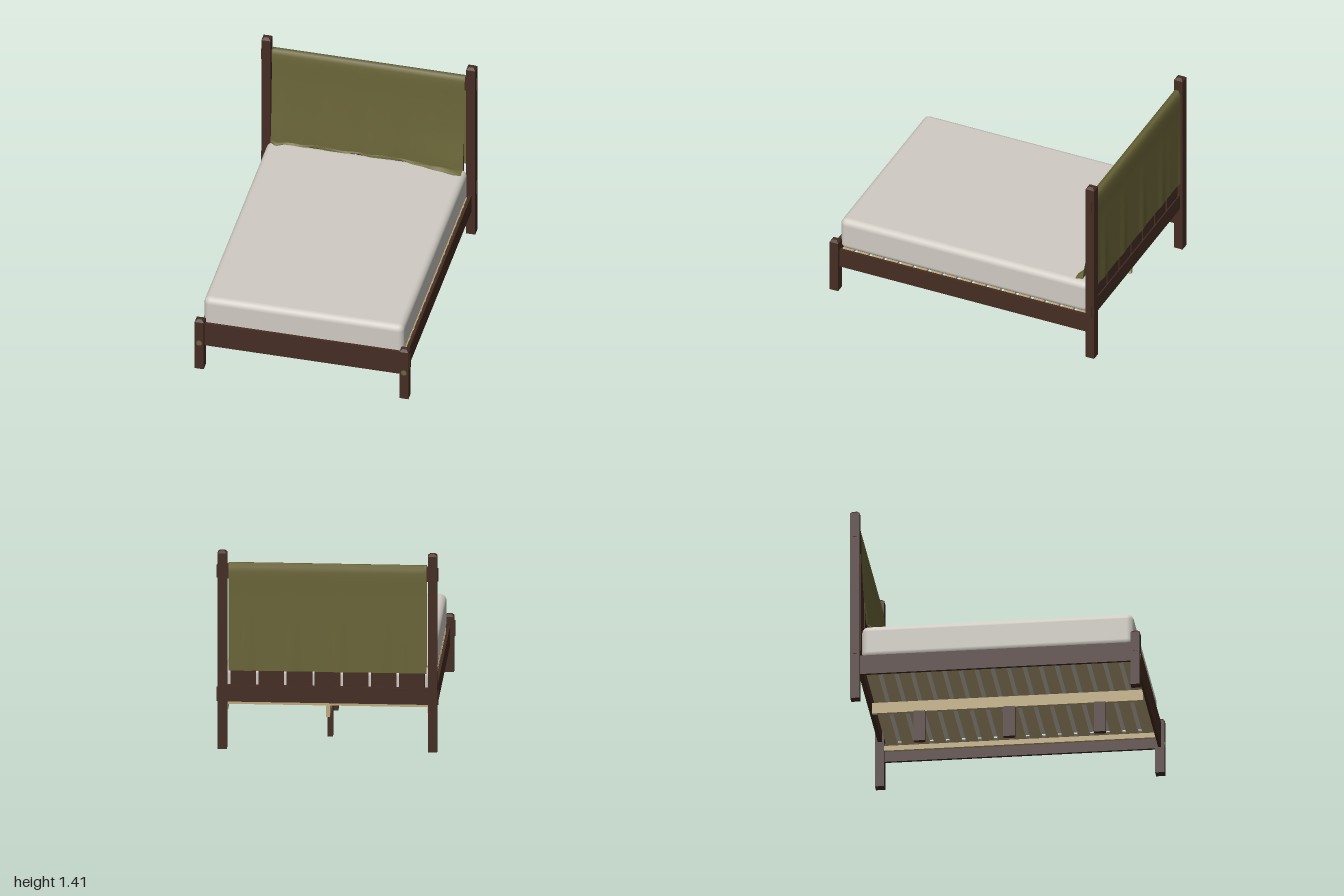
import * as THREE from 'three';
import { toCreasedNormals } from 'three/addons/utils/BufferGeometryUtils.js';
import { RoundedBoxGeometry } from 'three/addons/geometries/RoundedBoxGeometry.js';

const mat = (name, color, extra = {}) => {
  const m = new THREE.MeshStandardMaterial({ color, ...extra });
  m.name = name;
  return m;
};

export function createModel() {
  const bed = new THREE.Group();
  bed.name = 'bed';
  const wood = mat('dark wood', 0x452d23);
  const pine = mat('pale wood', 0xc0ab80);
  const white = mat('mattress white', 0xd0cbc3);
  const cloth = mat('olive cloth', 0x6a6538, { side: THREE.DoubleSide });

  const add = (name, geometry, material, x = 0, y = 0, z = 0) => {
    const mesh = new THREE.Mesh(geometry, material);
    mesh.name = name;
    mesh.position.set(x, y, z);
    bed.add(mesh);
    return mesh;
  };
  // Box given by its lower and upper limits on each axis
  const box = (name, material, x0, x1, y0, y1, z0, z1) =>
    add(name, new THREE.BoxGeometry(x1 - x0, y1 - y0, z1 - z0), material,
      (x0 + x1) / 2, (y0 + y1) / 2, (z0 + z1) / 2);

  // Square post with a bevelled top
  const post = (name, x, z, height) => {
    const w = 0.064, cap = 0.016;
    box(name, wood, x - w / 2, x + w / 2, 0, height - cap, z - w / 2, z + w / 2);
    const top = new THREE.CylinderGeometry(0.014 * Math.SQRT2, w / Math.SQRT2, cap, 4);
    top.rotateY(Math.PI / 4);
    add(name + 'Cap', toCreasedNormals(top, 0.1), wood, x, height - cap / 2, z);
  };

  for (const s of [-1, 1]) {
    const x = s * 0.722;
    post('headPost', x, -0.967, 1.415);
    post('footPost', x, 0.967, 0.41);

    // Tenon ends showing on the outer faces of the posts
    for (const [y0, y1, z] of [[0.25, 0.36, 0.967], [0.335, 0.435, -0.967], [1.22, 1.31, -0.967]]) {
      add('tenon', new THREE.BoxGeometry(0.014, y1 - y0, 0.022), wood, s * 0.754, (y0 + y1) / 2, z);
    }
    // Round peg on the front of the foot post
    const peg = add('peg', new THREE.CylinderGeometry(0.02, 0.02, 0.006, 24), cloth, x, 0.22, 0.999);
    peg.rotation.x = Math.PI / 2;

    // Side rail and the ledger carrying the slats
    add('sideRail', new THREE.BoxGeometry(0.02, 0.14, 1.88), wood, s * 0.717, 0.26, 0);
    add('ledger', new THREE.BoxGeometry(0.022, 0.036, 1.87), pine, s * 0.696, 0.282, 0);
  }

  // Foot board and head rails
  box('footBoard', wood, -0.7, 0.7, 0.19, 0.375, 0.956, 0.976);
  box('lowerHeadRail', wood, -0.7, 0.7, 0.335, 0.45, -0.98, -0.95);
  box('upperHeadRail', wood, -0.7, 0.7, 1.215, 1.315, -0.978, -0.948);

  // Upright boards of the headboard
  for (let i = -3; i <= 3; i++) {
    const x = i * 0.193;
    box('headBoardPlank', wood, x - 0.088, x + 0.088, 0.44, 1.23, -0.972, -0.958);
  }

  // Mattress slats
  const slats = 17;
  for (let i = 0; i < slats; i++) {
    const z = -0.88 + (i * 1.77) / (slats - 1);
    box('slat', pine, -0.7, 0.7, 0.301, 0.321, z - 0.041, z + 0.041);
  }

  // Centre beam and its legs
  box('centreBeam', pine, -0.014, 0.014, 0.222, 0.301, -0.935, 0.935);
  for (const z of [0.635, 0.01, -0.61]) {
    box('centreLeg', wood, -0.018, 0.018, 0, 0.225, z - 0.04, z + 0.04);
  }

  // Mattress
  add('mattress', new RoundedBoxGeometry(1.41, 0.244, 1.875, 6, 0.045), white, 0, 0.444, 0.01);

  // Cloth cover: a profile from the back hem over the top rail to the front hem
  const profile = new THREE.CatmullRomCurve3([
    [0.56, -0.985], [0.8, -0.986], [1.1, -0.987], [1.29, -0.987], [1.323, -0.979], [1.332, -0.961],
    [1.323, -0.943], [1.29, -0.935], [1.1, -0.93], [0.85, -0.917], [0.66, -0.904], [0.585, -0.9],
  ].map(([y, z]) => new THREE.Vector3(0, y, z)), false, 'centripetal');
  const rows = 48, cols = 72;
  const points = profile.getSpacedPoints(rows);
  const cover = new THREE.PlaneGeometry(1.36, 1, cols, rows);
  const pos = cover.attributes.position;
  const smooth = THREE.MathUtils.smoothstep;
  // How far the front hem lies out over the mattress
  const hem = (x) => 0.012 + 0.06 * smooth(x, 0.24, 0.62)
    + 0.032 * Math.exp(-(((x + 0.635) / 0.035) ** 2)) + 0.004 * Math.sin(x * 23);
  for (let i = 0; i < pos.count; i++) {
    const row = Math.floor(i / (cols + 1));
    const p = points[row], x = pos.getX(i);
    const low = 1 - smooth(p.y, 0.56, 1.2);
    const front = row > rows / 2;
    const fold = 0.003 * low * (Math.sin(x * 19) + Math.sin(x * 41 + 1));
    const flare = front ? 0.3 * hem(x) * low ** 4 : 0;
    pos.setXYZ(i, x, p.y, p.z + (front ? fold + flare : Math.min(fold, 0)));
  }
  cover.computeVertexNormals();
  add('headboardCover', cover, cloth);

  // Loose hem resting on the mattress, joined to the foot of the cover
  const lip = new THREE.PlaneGeometry(1.36, 1, cols, 6);
  const lp = lip.attributes.position;
  for (let i = 0; i < lp.count; i++) {
    const t = Math.floor(i / (cols + 1)) / 6, x = lp.getX(i);
    const start = pos.getZ(rows * (cols + 1) + (i % (cols + 1)));
    const y = 0.585 - 0.012 * t + 0.008 * Math.sin(t * Math.PI) * (1 + Math.sin(x * 15));
    lp.setXYZ(i, x, y, start + hem(x) * 0.8 * t);
  }
  lip.computeVertexNormals();
  add('coverHem', lip, cloth);

  return bed;
}
